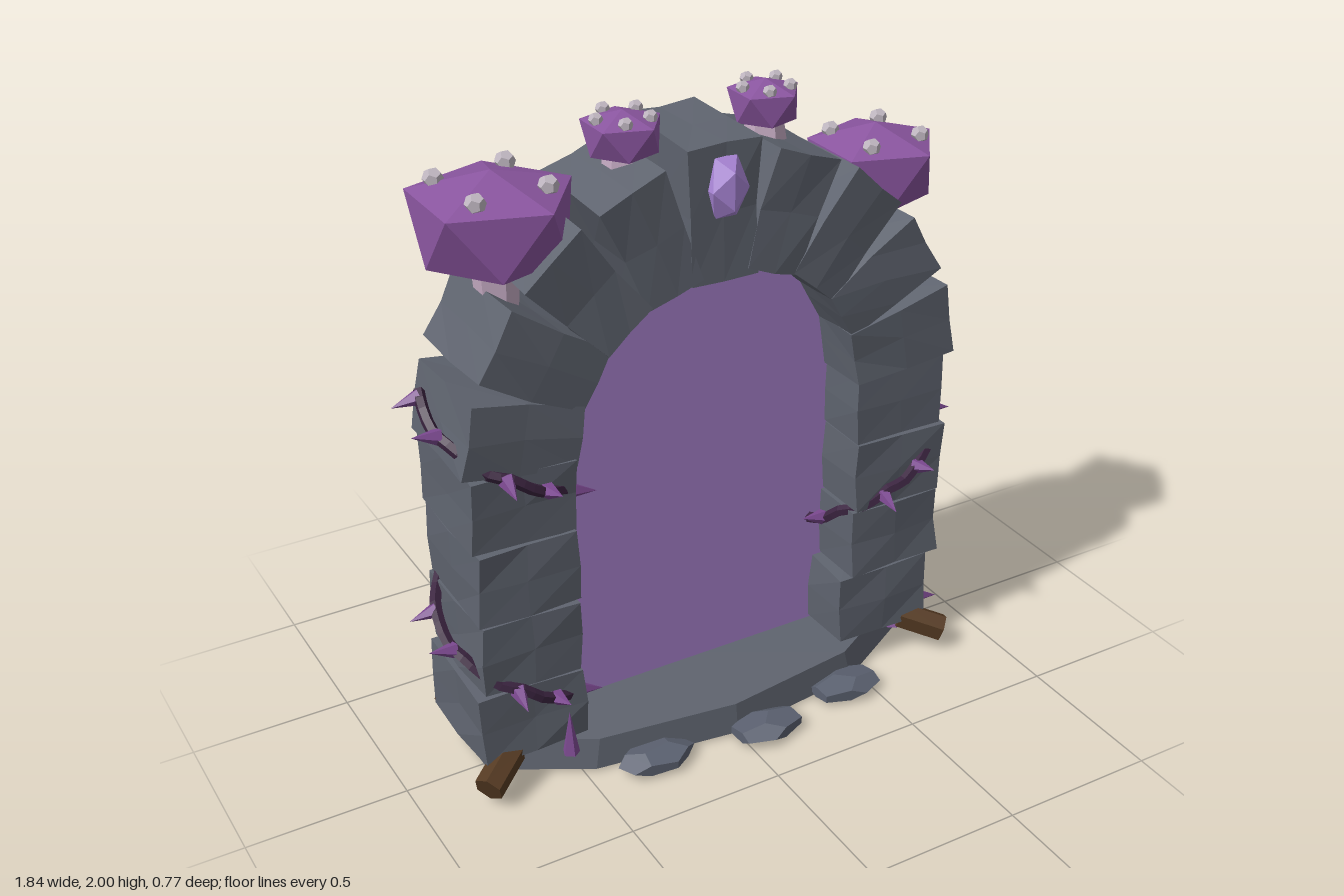
import * as THREE from 'three';

const mat = (name, color, side = THREE.FrontSide) => {
  const m = new THREE.MeshStandardMaterial({ color, flatShading: true, side });
  m.name = name;
  return m;
};

export function createModel() {
  const M = {
    stone: mat('stone grey', 0x5f646f),
    pebble: mat('pebble grey', 0x5b6170),
    portal: mat('portal lilac', 0xa580ca, THREE.DoubleSide),
    cap: mat('cap purple', 0x8a559f),
    stem: mat('stem pink', 0xc4aac2),
    spot: mat('spot grey', 0xbfb6c0),
    crystal: mat('crystal violet', 0xa985d6),
    vine: mat('vine dark purple', 0x3b2440),
    thorn: mat('thorn purple', 0x7d4a92),
    wood: mat('wood brown', 0x553a22),
  };
  const root = new THREE.Group();
  const UP = new THREE.Vector3(0, 1, 0);
  const MID_Z = -0.035;

  const add = (name, geo, material, pos = [0, 0, 0], parent = root) => {
    const mesh = new THREE.Mesh(geo, material);
    mesh.name = name;
    mesh.position.set(...pos);
    parent.add(mesh);
    return mesh;
  };
  const group = (name, pos = [0, 0, 0]) => {
    const g = new THREE.Group();
    g.name = name;
    g.position.set(...pos);
    root.add(g);
    return g;
  };

  // Chipped stone block: tapered box whose points shift a little, equal points together
  let seed = 0;
  const block = (name, wBottom, wTop, h, d, pos, angle, parent) => {
    const geo = new THREE.BoxGeometry(1, h, d, 2, 2, 2);
    const p = geo.attributes.position;
    seed++;
    const noise = (x, y, z, k) => {
      const s = Math.sin(x * 127.1 + y * 311.7 + z * 74.7 + k * 53.3 + seed * 19.19) * 43758.5453;
      return (s - Math.floor(s) - 0.5) * 0.016;
    };
    for (let i = 0; i < p.count; i++) {
      const x = Math.round(p.getX(i) * 2), y = Math.round(p.getY(i) / h * 2), z = Math.round(p.getZ(i) / d * 2);
      const w = wBottom + (wTop - wBottom) * (y + 1) / 2;
      p.setXYZ(i, x * w / 2 + noise(x, y, z, 1), y * h / 2 + noise(x, y, z, 2) * 0.6, z * d / 2 + noise(x, y, z, 3));
    }
    geo.computeVertexNormals();
    add(name, geo, M.stone, pos, parent).rotation.z = angle;
  };

  // Base slab
  const slab = new THREE.CylinderGeometry(0.96, 1, 0.1, 10);
  slab.scale(0.79, 1, 0.325);
  add('baseSlab', slab, M.stone, [0, 0.06, -0.06]);

  // Pillars: [left edge, right edge, tilt] from the bottom up
  const pillars = group('pillars');
  const rows = {
    rightPillarBlock: [[-0.805, -0.465, 0.01], [-0.79, -0.475, -0.012], [-0.785, -0.475, 0.008], [-0.79, -0.478, -0.02]],
    leftPillarBlock: [[0.455, 0.79, -0.005], [0.49, 0.815, 0.015], [0.492, 0.815, -0.012], [0.488, 0.8, 0.008]],
  };
  for (const name in rows) {
    rows[name].forEach(([a, b, tilt], i) =>
      block(name, b - a, b - a, 0.234, 0.37, [(a + b) / 2, 0.235 + i * 0.242, MID_Z], tilt, pillars));
  }

  // Arch stones fanned round the opening
  const arch = group('arch');
  for (let i = 0; i < 9; i++) {
    const a = THREE.MathUtils.degToRad(10 + i * 20);
    const key = i === 4;
    const r0 = key ? 0.45 : 0.465, r1 = key ? 0.85 : 0.815, r = (r0 + r1) / 2;
    block(key ? 'keystone' : 'archStone', key ? 0.215 : 0.185, 0.22, r1 - r0, 0.37,
      [0.008 + Math.cos(a) * r, 1.06 + Math.sin(a) * r, MID_Z], a - Math.PI / 2, arch);
  }

  // Portal sheet
  const sheet = new THREE.Shape();
  sheet.moveTo(-0.49, 0.1);
  sheet.lineTo(0.51, 0.1);
  sheet.lineTo(0.51, 1.06);
  sheet.absellipse(0.01, 1.06, 0.5, 0.49, 0, Math.PI, false);
  sheet.lineTo(-0.49, 0.1);
  add('portal', new THREE.ShapeGeometry(sheet, 16), M.portal, [0, 0, MID_Z]);

  // Crystal on the keystone
  const gem = new THREE.IcosahedronGeometry(1, 0);
  gem.scale(0.068, 0.105, 0.06);
  add('crystal', gem, M.crystal, [0.012, 1.785, 0.145]);

  // Mushroom cap: crown point, wide five-sided ring, narrower offset ring, underside point
  const capGeometry = (r, h) => {
    const v = [0, h, 0], idx = [];
    for (let i = 0; i < 10; i++) {
      const low = i >= 5, a = (i % 5 + (low ? 0.5 : 0)) * Math.PI * 0.4, q = low ? r * 0.84 : r;
      v.push(Math.cos(a) * q, low ? 0 : h * 0.74, Math.sin(a) * q);
    }
    v.push(0, h * 0.1, 0);
    for (let i = 0; i < 5; i++) {
      const n = (i + 1) % 5, u = 1 + i, un = 1 + n, l = 6 + i, ln = 6 + n;
      idx.push(0, un, u, u, un, l, un, ln, l, 11, l, ln);
    }
    const geo = new THREE.BufferGeometry();
    geo.setAttribute('position', new THREE.Float32BufferAttribute(v, 3));
    geo.setIndex(idx);
    const flat = geo.toNonIndexed();
    flat.computeVertexNormals();
    return flat;
  };

  // Mushrooms: x, z, cap bottom, cap height, cap radius, stem bottom, stem radii, spots
  const mushrooms = [
    [-0.598, -0.045, 1.645, 0.245, 0.238, 1.44, 0.075, 0.055, 4],
    [0.64, -0.045, 1.58, 0.22, 0.2, 1.45, 0.078, 0.04, 4],
    [-0.205, -0.04, 1.868, 0.12, 0.118, 1.76, 0.05, 0.07, 5],
    [0.25, -0.04, 1.883, 0.117, 0.108, 1.78, 0.05, 0.07, 5],
  ];
  for (const [x, z, y, h, r, y0, rTop, rBottom, spots] of mushrooms) {
    const g = group('mushroom', [x, y, z]);
    add('cap', capGeometry(r, h), M.cap, [0, 0, 0], g);
    const len = y - y0 + h * 0.25;
    add('stem', new THREE.CylinderGeometry(rTop, rBottom, len, 6), M.stem, [0, h * 0.25 - len / 2, 0], g);
    const s = 0.012 + r * 0.075;
    for (let i = 0; i < spots; i++) {
      const a = 0.68 + i / spots * Math.PI * 2, q = r * 0.66;
      add('spot', new THREE.DodecahedronGeometry(s, 0), M.spot, [Math.cos(a) * q, h * 0.86, Math.sin(a) * q], g);
    }
  }

  // Cone with its foot at a point, aimed along a direction
  const spike = (name, from, dir, len, r, parent) => {
    const geo = new THREE.ConeGeometry(r, len, 5);
    geo.translate(0, len / 2, 0);
    add(name, geo, M.thorn, from.toArray(), parent).quaternion.setFromUnitVectors(UP, dir.clone().normalize());
  };

  // Thorny vines: angle 0 faces the front and grows toward +x; y = level at angle 0
  const vine = (name, cx, y, rise, a0, a1) => {
    const g = group(name);
    const at = a => new THREE.Vector3(cx + Math.sin(a) * 0.205, y + rise * a / (Math.PI * 2), MID_Z + Math.cos(a) * 0.208);
    const points = [];
    for (let i = 0; i <= 36; i++) {
      const p = at(a0 + (a1 - a0) * i / 36);
      p.y += Math.sin(i * 2.3) * 0.008;
      points.push(p);
    }
    add('vineStem', new THREE.TubeGeometry(new THREE.CatmullRomCurve3(points), 72, 0.018, 5), M.vine, [0, 0, 0], g);
    for (let q = Math.ceil(a0 / (Math.PI / 2)); q * Math.PI / 2 <= a1; q++) {
      for (const side of [-1, 1]) {
        const a = q * Math.PI / 2 + side * 0.3;
        if (a < a0 || a > a1) continue;
        const dir = new THREE.Vector3(Math.sin(a - side * 0.2), side * 0.25, Math.cos(a - side * 0.2));
        spike('thorn', at(a), dir, 0.085, 0.026, g);
      }
    }
  };
  const P = Math.PI;
  vine('rightVine', -0.63, 1.04, -0.71, -0.62 * P, 2.65 * P);
  vine('leftVine', 0.65, 0.68, 0.73, -1.65 * P, 1.2 * P);

  // Spikes growing from the base
  const baseSpikes = group('baseSpikes');
  const spots = [[-0.53, 0.165, 0.15], [0.7, 0.1, 0.05], [0.5, -0.265, 0.13], [0.235, -0.32, 0.12], [-0.14, -0.34, 0.13], [-0.47, -0.27, 0.14]];
  for (const [x, z, len] of spots) {
    spike('baseSpike', new THREE.Vector3(x, 0.075, z), new THREE.Vector3(0, 1, 0), len, 0.027, baseSpikes);
  }

  // Log stubs leaning out of the base corners
  const logs = group('logs');
  for (const [x, z, dx, dz] of [[-0.76, 0.155, -1, 0.7], [-0.71, -0.245, -0.4, -0.9], [0.775, 0.155, 1, 0.7], [0.73, -0.245, 0.5, -0.9], [0.79, -0.045, 1, 0]]) {
    const log = add('log', new THREE.CylinderGeometry(0.047, 0.047, 0.15, 6), M.wood, [x, 0.095, z], logs);
    log.quaternion.setFromUnitVectors(UP, new THREE.Vector3(dx, -0.4, dz).normalize());
  }

  // Flat stepping stones in front
  const stones = group('frontStones');
  [[-0.29, 0.265, 0.3], [0.08, 0.305, 1.1], [0.41, 0.25, 2.2]].forEach(([x, z, turn]) => {
    const geo = new THREE.DodecahedronGeometry(1, 0);
    geo.rotateY(turn);
    geo.scale(0.13, 0.033, 0.08);
    add('frontStone', geo, M.pebble, [x, 0.034, z], stones);
  });

  return root;
}
